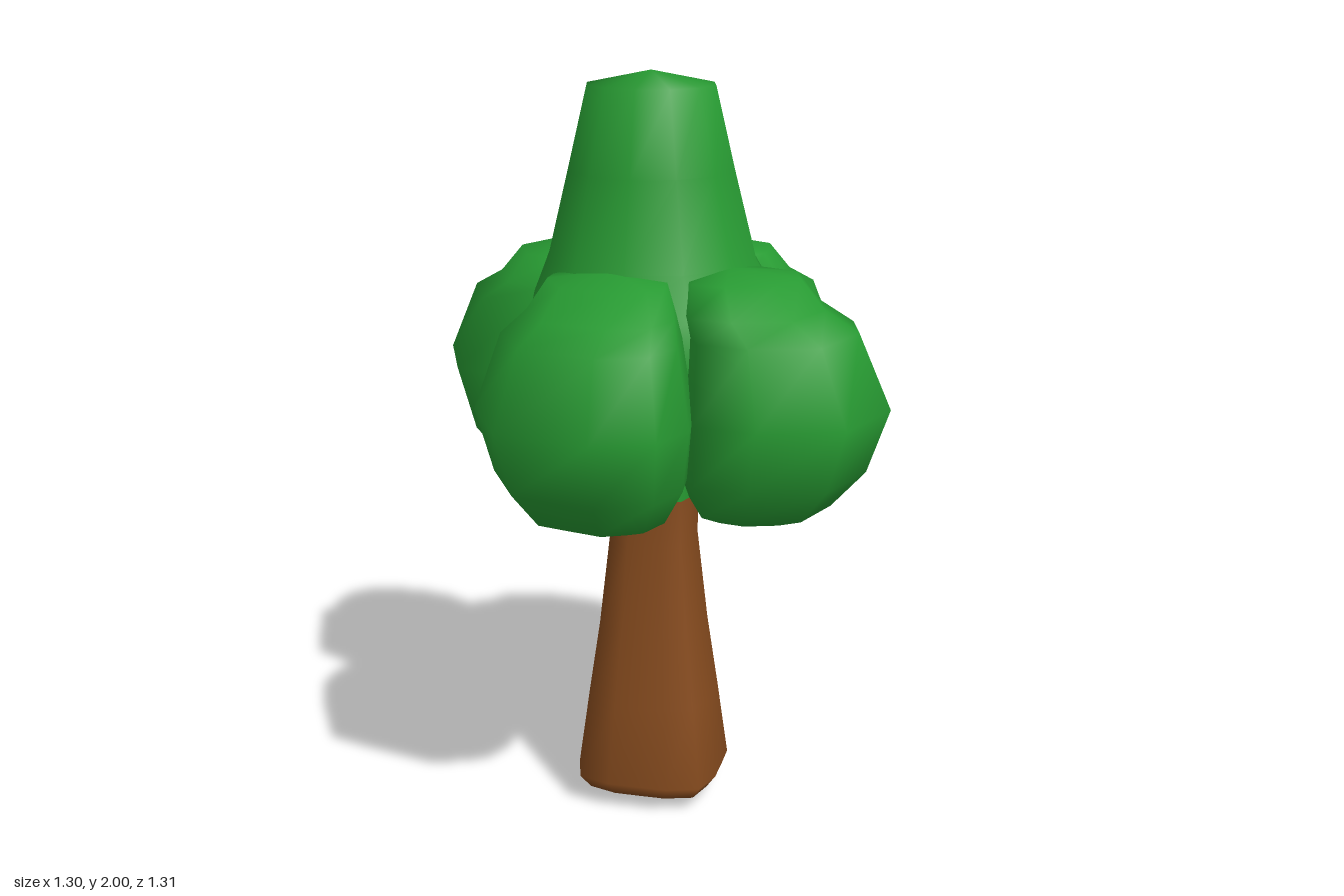
import * as THREE from 'three';
import { mergeVertices } from 'three/addons/utils/BufferGeometryUtils.js';

// Smooth skin through rings of equal point count, bottom to top, points
// running from +z towards +x. A ring with equal points collapses to a pole.
function loft(rings) {
  const n = rings[0].length, index = [];
  const isPole = (ring) => ring[0].distanceTo(ring[1]) < 1e-4;
  for (let j = 0; j < rings.length - 1; j++) {
    for (let i = 0; i < n; i++) {
      const a = j * n + i, b = j * n + (i + 1) % n;
      if (!isPole(rings[j])) index.push(a, b, b + n);
      if (!isPole(rings[j + 1])) index.push(a, b + n, a + n);
    }
  }
  let geo = new THREE.BufferGeometry().setFromPoints(rings.flat());
  geo.setIndex(index);
  geo = mergeVertices(geo, 1e-4);
  geo.computeVertexNormals();
  return geo;
}

// Rings from rows of [y, radius, centreX, centreZ]; power 2 is round, higher is squarer
function roundRings(rows, sides, power) {
  return rows.map(([y, r, cx, cz]) => Array.from({ length: sides }, (_, i) => {
    const a = (i / sides) * Math.PI * 2, s = Math.sin(a), c = Math.cos(a);
    const k = r / Math.pow(Math.abs(s) ** power + Math.abs(c) ** power, 1 / power);
    return new THREE.Vector3(cx + s * k, y, cz + c * k);
  }));
}

// Leaf lobe rows: y, share of the outline, shift towards the trunk axis
const lobeProfile = [
  [0.875, 0, 0.08],
  [0.885, 0.4, 0.075],
  [0.92, 0.67, 0.06],
  [1.02, 0.89, 0.03],
  [1.19, 1, 0],
  [1.38, 0.82, 0.04],
  [1.43, 0.69, 0.1],
  [1.505, 0.55, 0.13],
  [1.525, 0, 0.16],
];

// Lobes: centre and widest outline, as x and z
const lobes = [
  { name: 'frontLobe', centre: [-0.085, 0.37], outline: [
    [0, 0.65], [0.15, 0.58], [0.2, 0.45], [0.18, 0.29], [0.08, 0.12],
    [-0.1, 0.08], [-0.31, 0.16], [-0.37, 0.28], [-0.37, 0.38], [-0.25, 0.59]] },
  { name: 'leftLobe', centre: [0.37, 0.17], outline: [
    [0.36, 0.44], [0.57, 0.37], [0.65, 0.15], [0.61, -0.01], [0.43, -0.08],
    [0.31, -0.09], [0.15, -0.02], [0.1, 0.18], [0.2, 0.41]] },
  { name: 'backLobe', centre: [0.16, -0.37], outline: [
    [0.31, -0.12], [0.43, -0.28], [0.44, -0.38], [0.41, -0.56], [0.23, -0.66],
    [0.01, -0.62], [-0.07, -0.49], [-0.1, -0.3], [0.1, -0.12]] },
  { name: 'rightLobe', centre: [-0.355, -0.255], outline: [
    [-0.12, -0.08], [-0.07, -0.3], [-0.1, -0.47], [-0.3, -0.58], [-0.53, -0.49],
    [-0.65, -0.24], [-0.55, 0], [-0.37, 0.07], [-0.2, 0.05]] },
];

function lobeRings([cx, cz], outline) {
  const d = Math.hypot(cx, cz);
  return lobeProfile.map(([y, share, shift]) => {
    const x = cx * (1 - shift / d), z = cz * (1 - shift / d);
    return outline.map(([px, pz]) =>
      new THREE.Vector3(x + (px - cx) * share, y, z + (pz - cz) * share));
  });
}

export function createModel() {
  const tree = new THREE.Group();
  tree.name = 'tree';

  const leafGreen = new THREE.MeshStandardMaterial({ color: 0x279a32 });
  leafGreen.name = 'leafGreen';
  const barkBrown = new THREE.MeshStandardMaterial({ color: 0x864b1e });
  barkBrown.name = 'barkBrown';

  const add = (name, rings, mat) => {
    const mesh = new THREE.Mesh(loft(rings), mat);
    mesh.name = name;
    tree.add(mesh);
  };

  // Trunk: rounded square, tapering upward
  add('trunk', roundRings([
    [0, 0, 0, -0.01],
    [0.04, 0.17, 0, -0.01],
    [0.08, 0.197, 0, -0.01],
    [0.3, 0.168, 0, -0.01],
    [0.5, 0.14, 0, -0.01],
    [0.75, 0.113, 0, -0.01],
    [0.88, 0.112, 0, -0.015],
  ], 16, 4.5), barkBrown);

  // Leafy collar where the trunk enters the foliage
  add('trunkCollar', roundRings([
    [0.88, 0.112, 0, -0.015],
    [1.0, 0.112, 0, -0.015],
  ], 16, 4.5), leafGreen);

  // Central crown: blunt cone swelling into the middle of the foliage
  add('crown', roundRings([
    [0.93, 0, 0, 0],
    [0.94, 0.15, 0, -0.01],
    [1.02, 0.25, 0, -0.01],
    [1.18, 0.335, 0, -0.01],
    [1.3, 0.355, 0, -0.01],
    [1.42, 0.33, 0, -0.02],
    [1.52, 0.28, -0.01, -0.025],
    [1.75, 0.222, -0.01, -0.02],
    [1.965, 0.17, -0.01, -0.02],
    [2, 0, -0.01, -0.02],
  ], 12, 2), leafGreen);

  // Four leaf lobes leaning in towards the crown
  for (const { name, centre, outline } of lobes) add(name, lobeRings(centre, outline), leafGreen);
  return tree;
}
